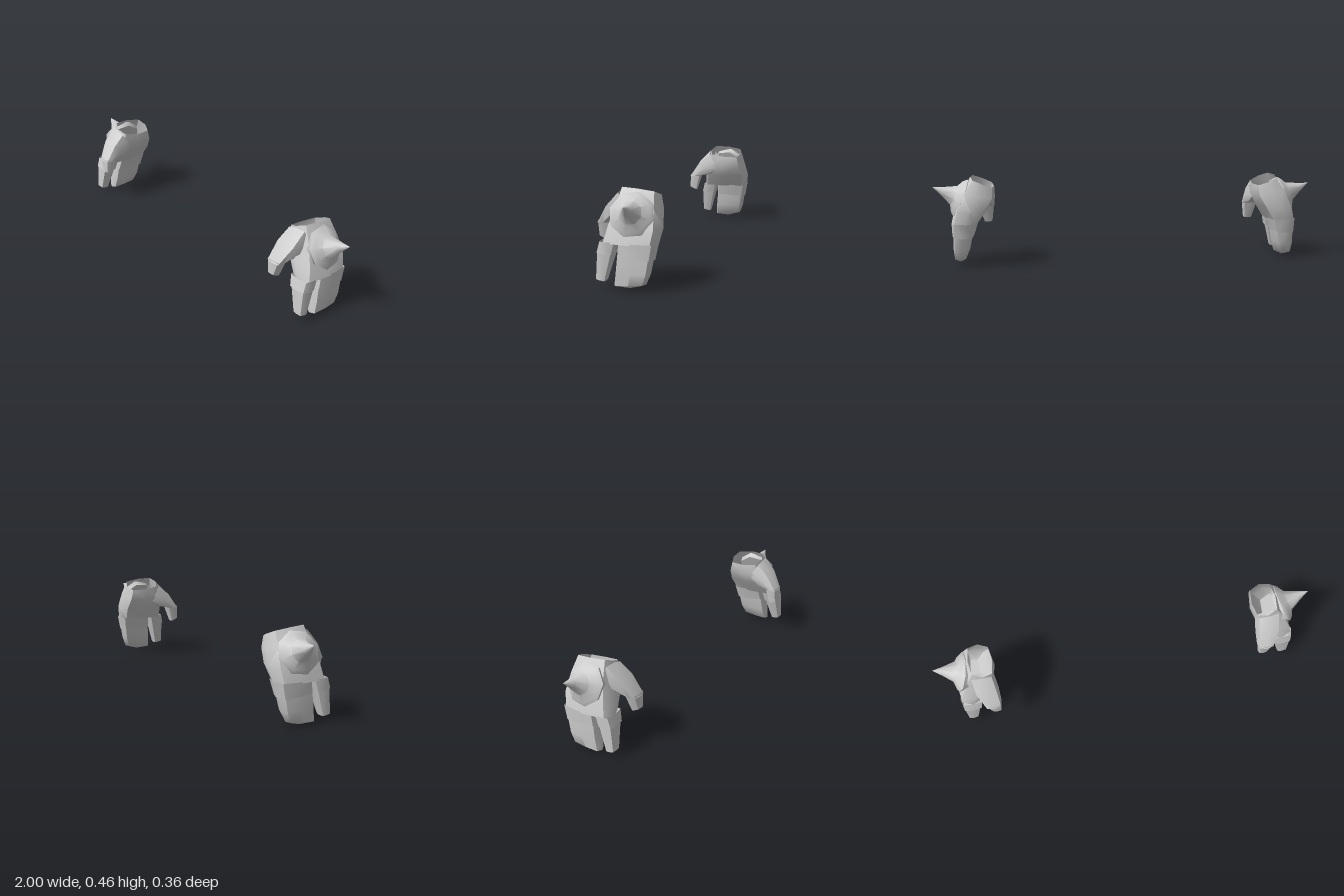
import * as THREE from 'three';
import { toCreasedNormals } from 'three/addons/utils/BufferGeometryUtils.js';

const SIDES = 8;
const material = new THREE.MeshStandardMaterial({ color: 0xcccccc, side: THREE.DoubleSide });

// Rounded cross-sections from top to bottom.
// ring: [xInner, xOuter, zBack, zFront, y, tilt along x, tilt along z]
function loft(name, rings, power, tipDrop = 0) {
  const positions = [], index = [];
  for (const [x0, x1, z0, z1, y, tx, tz] of rings) {
    for (let i = 0; i < SIDES; i++) {
      const a = (i / SIDES) * Math.PI * 2;
      const round = (v) => Math.sign(v) * Math.pow(Math.abs(v) < 1e-6 ? 0 : Math.abs(v), power);
      const u = round(Math.cos(a)), w = round(Math.sin(a));
      positions.push((x0 + x1) / 2 + (u * (x1 - x0)) / 2, y + u * tx + w * tz, (z0 + z1) / 2 + (w * (z1 - z0)) / 2);
    }
  }
  for (let r = 0; r < rings.length - 1; r++) {
    for (let i = 0; i < SIDES; i++) {
      const a = r * SIDES + i, b = r * SIDES + ((i + 1) % SIDES);
      index.push(a, b, a + SIDES, b, b + SIDES, a + SIDES);
    }
  }
  // closed lower end, open upper end
  const [x0, x1, z0, z1, y] = rings[rings.length - 1];
  const base = (rings.length - 1) * SIDES, centre = rings.length * SIDES;
  positions.push((x0 + x1) / 2, y - tipDrop, (z0 + z1) / 2);
  for (let i = 0; i < SIDES; i++) index.push(centre, base + i, base + ((i + 1) % SIDES));

  const geometry = new THREE.BufferGeometry();
  geometry.setAttribute('position', new THREE.Float32BufferAttribute(positions, 3));
  geometry.setIndex(index);
  const mesh = new THREE.Mesh(toCreasedNormals(geometry, 0.95), material);
  mesh.name = name;
  return mesh;
}

// Eight-sided plate on the back of the hand, drawn out into a spike
function spikePlate() {
  const profile = [[0, -0.03], [0.095, -0.03], [0.106, 0], [0.09, 0.015], [0.055, 0.034], [0.024, 0.095], [0, 0.15]]
    .map(([r, h]) => new THREE.Vector2(r, h));
  const geometry = new THREE.LatheGeometry(profile, SIDES);
  geometry.rotateY(-0.15);
  const mesh = new THREE.Mesh(toCreasedNormals(geometry, 0.75), material);
  mesh.name = 'spikePlate';
  mesh.position.set(0.863, 0.347, -0.047);
  mesh.quaternion.setFromUnitVectors(new THREE.Vector3(0, 1, 0), new THREE.Vector3(0.915, 0.39, -0.1).normalize());
  return mesh;
}

function glove(name) {
  const group = new THREE.Group();
  group.name = name;
  group.add(
    // hollow palm, open at the wrist
    loft('palm', [
      [0.69, 0.81, -0.148, 0.04, 0.43, 0.024, 0.008],
      [0.687, 0.86, -0.163, 0.06, 0.36, 0.012, 0],
      [0.725, 0.895, -0.177, 0.086, 0.287, 0, 0],
      [0.775, 0.91, -0.165, 0.1, 0.215, 0, 0],
    ], 0.6),
    // joined fingers: knuckle section, then a slightly narrower lower section
    loft('fingerKnuckle', [
      [0.775, 0.91, -0.166, 0.02, 0.222, 0, 0],
      [0.797, 0.907, -0.152, 0.026, 0.153, 0, 0.005],
    ], 0.55),
    loft('fingers', [
      [0.803, 0.903, -0.148, 0.024, 0.165, 0, 0.005],
      [0.818, 0.904, -0.135, 0.032, 0.085, 0, 0],
      [0.84, 0.898, -0.115, 0.037, 0.029, 0, -0.007],
    ], 0.5, 0.016),
    // separate index finger
    loft('indexKnuckle', [
      [0.785, 0.905, 0.02, 0.101, 0.222, 0, 0],
      [0.8, 0.903, 0.037, 0.116, 0.165, 0, 0.004],
    ], 0.45),
    loft('indexFinger', [
      [0.806, 0.899, 0.038, 0.112, 0.175, 0, 0.004],
      [0.842, 0.895, 0.074, 0.119, 0.043, 0, 0.004],
    ], 0.4, 0.004),
    // thumb, leaning forward
    loft('thumbBase', [
      [0.695, 0.82, -0.02, 0.045, 0.383, 0.01, 0.05],
      [0.687, 0.815, 0.035, 0.108, 0.33, 0, 0.04],
      [0.688, 0.778, 0.09, 0.165, 0.28, 0, -0.003],
    ], 0.6),
    loft('thumbTip', [
      [0.691, 0.772, 0.094, 0.161, 0.288, 0, 0],
      [0.7, 0.745, 0.121, 0.162, 0.204, 0, 0.009],
    ], 0.45, 0.004),
    spikePlate(),
  );
  return group;
}

export function createModel() {
  const model = new THREE.Group();
  model.name = 'gloves';
  const left = glove('leftGlove');
  // the other glove is mirrored and sits slightly lower and forward
  const right = glove('rightGlove');
  right.scale.x = -1;
  right.position.set(0, -0.013, 0.013);
  model.add(left, right);
  return model;
}
